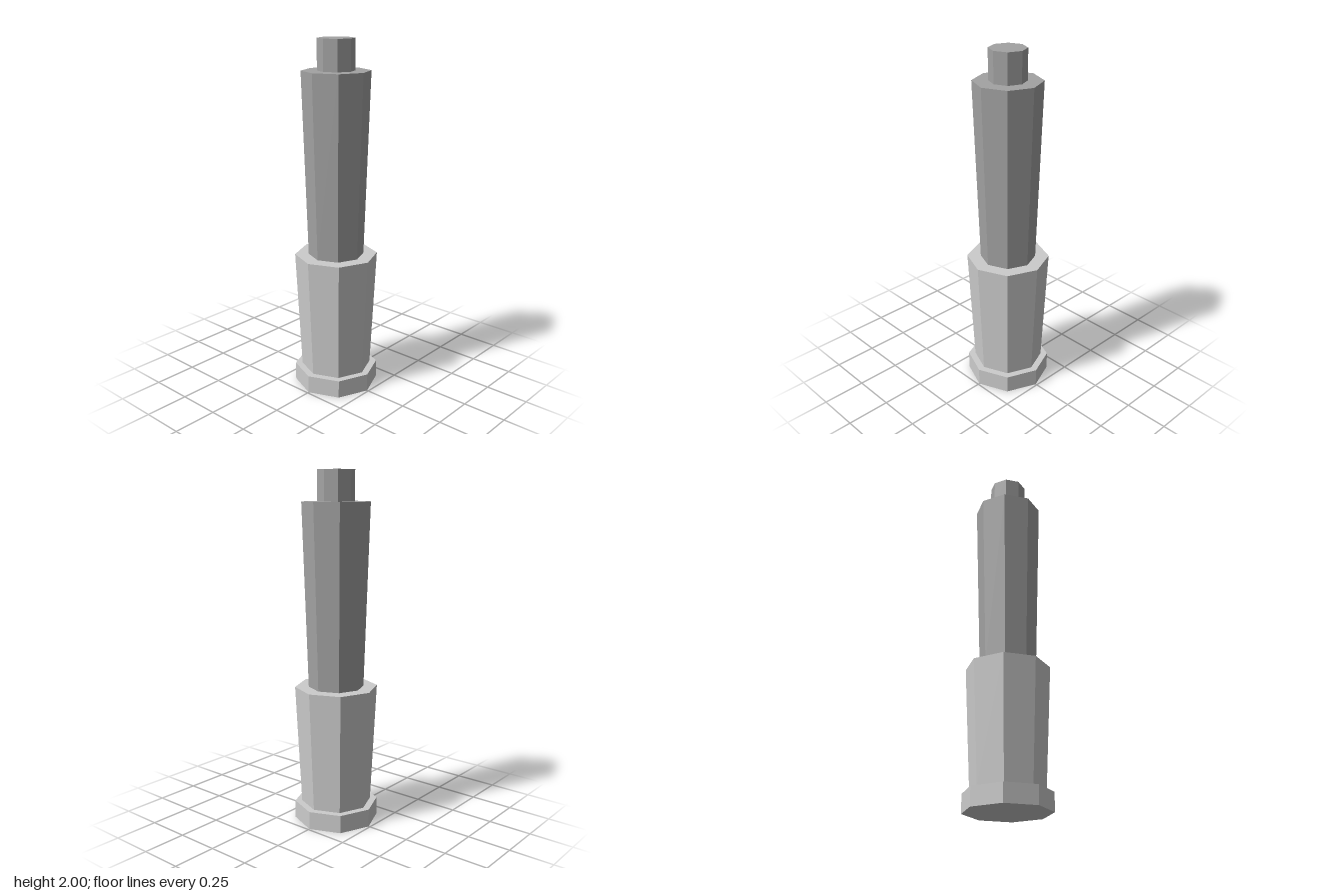
import * as THREE from 'three';

export function createModel() {
  const group = new THREE.Group();
  group.name = 'telescopingTube';

  const lightGrey = new THREE.MeshStandardMaterial({ color: 0xcccccc, flatShading: true });
  lightGrey.name = 'light grey';
  const midGrey = new THREE.MeshStandardMaterial({ color: 0xa3a3a3, flatShading: true });
  midGrey.name = 'mid grey';

  // Eight-sided section standing between two heights
  const section = (name, bottomRadius, topRadius, y0, y1, material) => {
    const geometry = new THREE.CylinderGeometry(topRadius, bottomRadius, y1 - y0, 8);
    const mesh = new THREE.Mesh(geometry, material);
    mesh.position.y = (y0 + y1) / 2;
    mesh.name = name;
    group.add(mesh);
  };

  section('baseRim', 0.241, 0.241, 0, 0.104, lightGrey);
  section('outerTube', 0.201, 0.235, 0.104, 0.795, lightGrey);
  section('innerTube', 0.157, 0.19, 0.795, 1.83, midGrey);
  section('endPiece', 0.103, 0.103, 1.83, 2, midGrey);

  return group;
}
